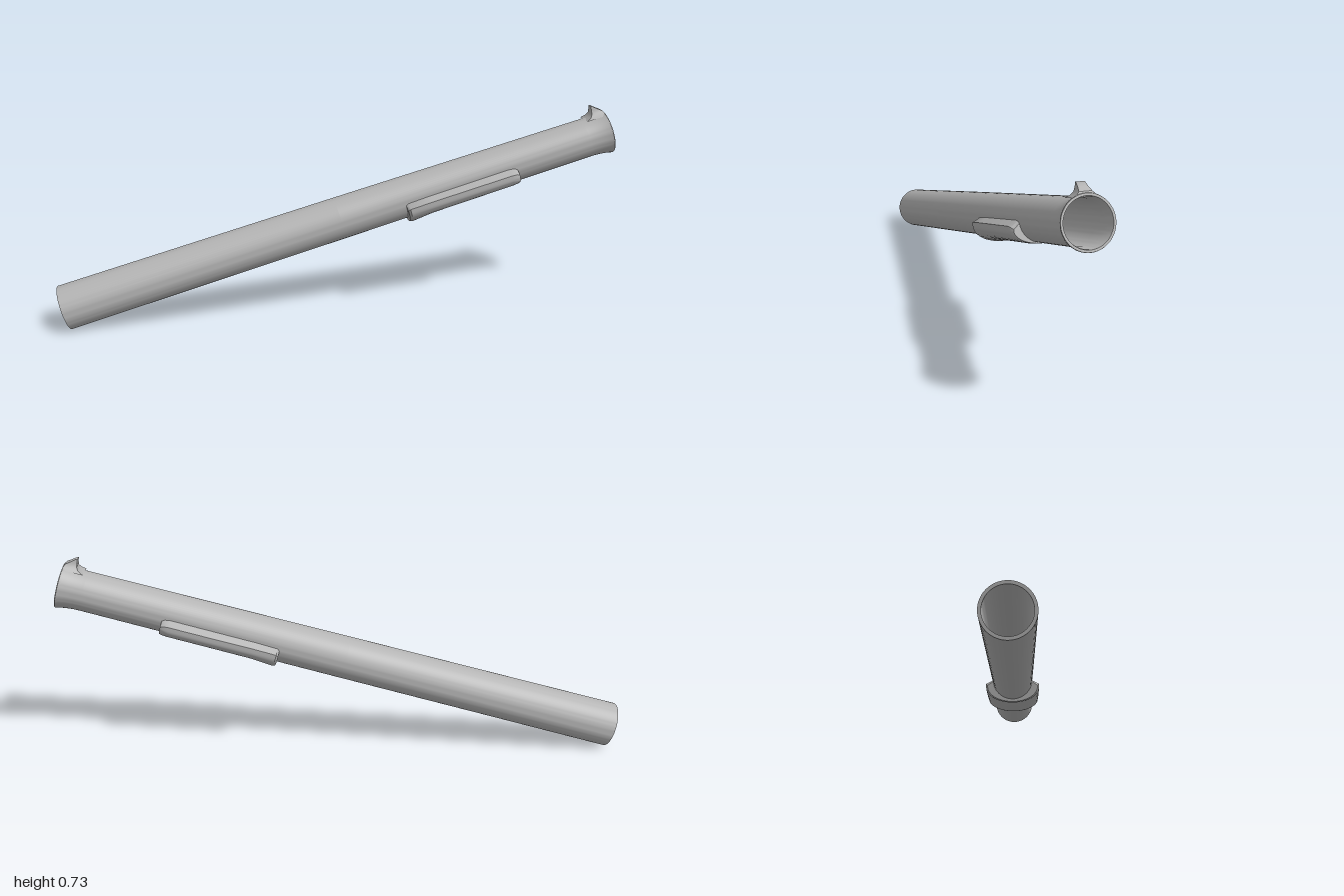
import * as THREE from 'three';
import { toCreasedNormals } from 'three/addons/utils/BufferGeometryUtils.js';

// Skin a list of closed rings (counterclockwise about the direction of travel) and cap both ends.
function loft(rings, crease) {
  const n = rings[0].length, pos = [], idx = [];
  rings.forEach(r => r.forEach(p => pos.push(...p)));
  for (let i = 0; i < rings.length - 1; i++) {
    for (let j = 0; j < n; j++) {
      const k = (j + 1) % n;
      const a = i * n + j, b = i * n + k, c = b + n, d = a + n;
      idx.push(a, b, c, a, c, d);
    }
  }
  [0, rings.length - 1].forEach((r, end) => {
    const mid = [0, 1, 2].map(k => rings[r].reduce((s, p) => s + p[k], 0) / n);
    const centre = pos.length / 3;
    pos.push(...mid);
    for (let j = 0; j < n; j++) {
      const a = r * n + j, b = r * n + (j + 1) % n;
      idx.push(centre, ...(end ? [a, b] : [b, a]));
    }
  });
  const g = new THREE.BufferGeometry();
  g.setAttribute('position', new THREE.Float32BufferAttribute(pos, 3));
  g.setIndex(idx);
  return toCreasedNormals(g, crease);
}

export function createModel() {
  const model = new THREE.Group();
  const grey = new THREE.MeshStandardMaterial({ color: 0xb4b4b4 });
  grey.name = 'plain grey';
  const add = (name, geometry) => {
    const mesh = new THREE.Mesh(geometry, grey);
    mesh.name = name;
    model.add(mesh);
    return mesh;
  };

  // Hollow tube: slight taper, flared mouth, thin wall, open at both ends
  const L = 1.016;
  const profile = [
    [0.08, -L], [0.0755, 0], [0.07, 0.93], [0.0705, 0.955], [0.073, 0.98],
    [0.077, 1.003], [0.08, 1.013], [0.079, L], [0.072, L], [0.07, 1.008],
    [0.066, 0.96], [0.066, 0.9], [0.07, -L], [0.08, -L],
  ].map(p => new THREE.Vector2(...p));
  const tube = add('tube', toCreasedNormals(new THREE.LatheGeometry(profile, 64), 0.6));
  tube.rotation.z = -Math.PI / 2;

  // Grip saddle wrapped round the underside, deeper towards its rear lip
  const grip = (s, depth, width, top) => {
    const half = [[top, 0.066], [top - 0.004, 0.074], [top - 0.018, width]];
    for (let i = 0; i < 12; i++) {
      const a = (i / 12) * Math.PI / 2;
      half.push([-0.028 - (depth - 0.028) * Math.sin(a), width * Math.cos(a)]);
    }
    const mirrored = half.map(([y, z]) => [y, -z]).reverse();
    return [...half, [-depth, 0], ...mirrored].map(([y, z]) => [s, y, z]);
  };
  add('gripSaddle', loft([
    grip(0.234, 0.084, 0.094, -0.004),
    grip(0.242, 0.087, 0.1, 0.002),
    grip(0.32, 0.078, 0.101, 0.004),
    grip(0.48, 0.076, 0.101, 0.004),
    grip(0.62, 0.075, 0.1, 0.004),
    grip(0.64, 0.074, 0.097, 0.001),
    grip(0.65, 0.073, 0.09, -0.006),
  ], 0.6));

  // Pointed sight blade rising from the mouth with a spreading foot
  const blade = [
    [0.068, 0.945, 1.012, 0.036], [0.075, 0.963, 1.014, 0.027],
    [0.084, 0.971, 1.012, 0.019], [0.096, 0.973, 0.996, 0.015],
    [0.11, 0.975, 0.979, 0.013],
  ].map(([y, s0, s1, w]) => [[s0, y, w], [s1, y, w], [s1, y, -w], [s0, y, -w]]);
  add('sight', loft(blade, 0.7));

  // Lean the whole tube so its rear edge rests on the ground
  model.rotation.z = THREE.MathUtils.degToRad(16.05);
  model.position.y = 0.358;
  const root = new THREE.Group();
  root.name = 'leaningTube';
  root.add(model);
  return root;
}
